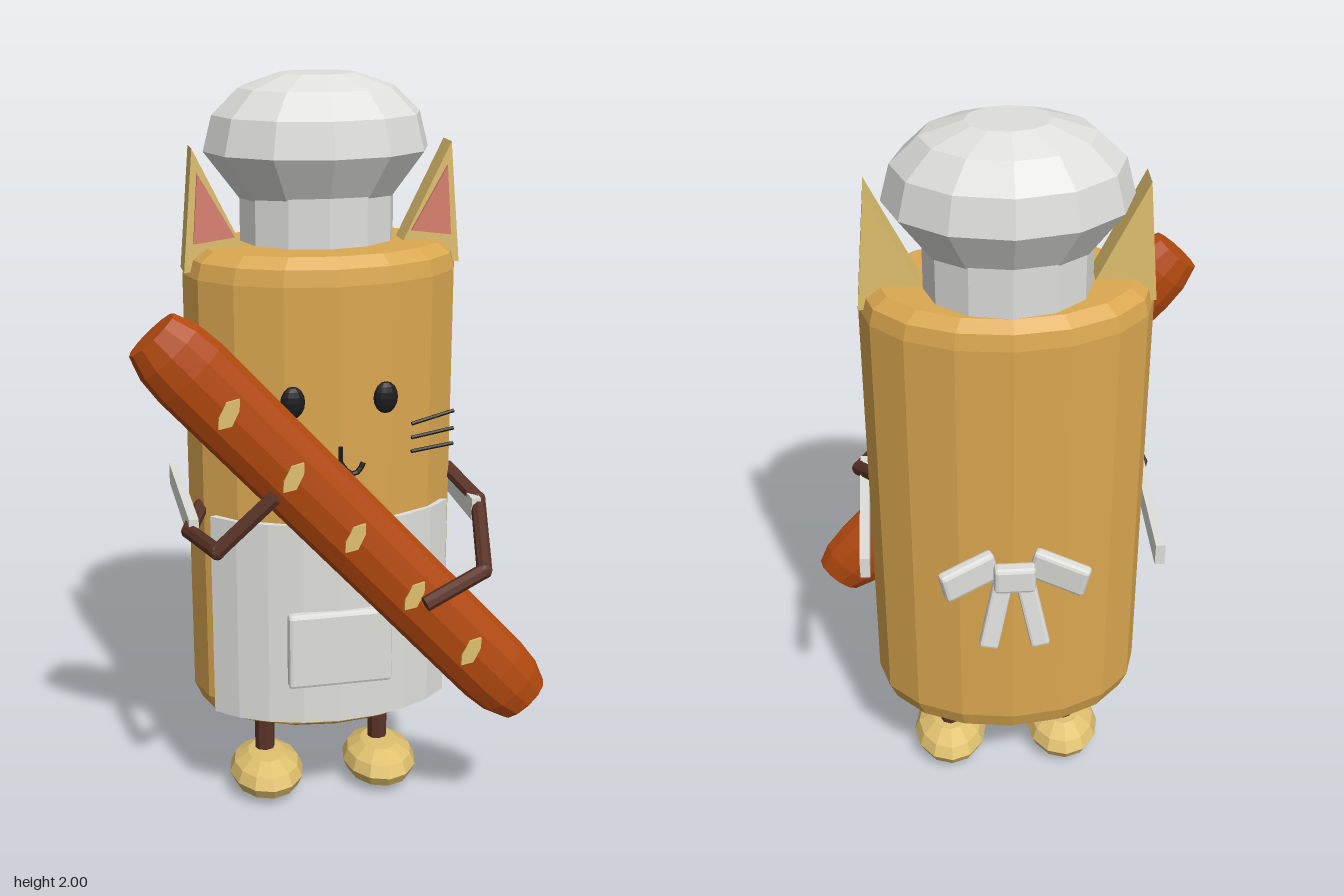
import * as THREE from 'three';
import { RoundedBoxGeometry } from 'three/addons/geometries/RoundedBoxGeometry.js';

const V = (x, y, z) => new THREE.Vector3(x, y, z);

export function createModel() {
  const root = new THREE.Group();
  const mat = (name, color) => {
    const m = new THREE.MeshStandardMaterial({ color, flatShading: true });
    m.name = name;
    return m;
  };
  const fur = mat('golden fur', 0xdba850);
  const pale = mat('pale fur', 0xdfc06e);
  const white = mat('white cloth', 0xdededb);
  const brown = mat('dark brown', 0x5a3327);
  const crust = mat('crust', 0xb54a0f);
  const pink = mat('pink', 0xd9806f);
  const black = mat('black', 0x1c1c1c);

  const add = (name, geo, material, x = 0, y = 0, z = 0, parent = root) => {
    const m = new THREE.Mesh(geo, material);
    m.name = name;
    m.position.set(x, y, z);
    parent.add(m);
    return m;
  };
  // Turned shape with an oval cross-section
  const lathe = (pts, seg, rx, rz) =>
    new THREE.LatheGeometry(pts.map(p => new THREE.Vector2(...p)), seg).scale(rx, 1, rz);
  // Straight rod between two points
  const rod = (name, a, b, r, material, sides = 8, parent = root) => {
    const d = b.clone().sub(a);
    const m = add(name, new THREE.CylinderGeometry(r, r, d.length(), sides), material, 0, 0, 0, parent);
    m.position.copy(a).add(b).multiplyScalar(0.5);
    m.quaternion.setFromUnitVectors(V(0, 1, 0), d.normalize());
    return m;
  };
  const plate = (pts, depth) => new THREE.ExtrudeGeometry(
    new THREE.Shape(pts.map(p => new THREE.Vector2(...p))), { depth, bevelEnabled: false });

  // Body
  const bodyZ = -0.082;
  add('body', lathe([[0, 0.28], [0.8, 0.28], [0.94, 0.302], [1, 0.35], [1, 1.51], [0.97, 1.552],
    [0.87, 1.58], [0, 1.58]], 16, 0.36, 0.238), fur, 0, 0, bodyZ);

  // Hat
  add('hatBand', lathe([[0, 1.56], [1, 1.56], [1, 1.72], [0, 1.72]], 12, 0.203, 0.163), white, 0, 0, -0.126);
  add('hatPuff', lathe([[0, 1.69], [0.69, 1.69], [1, 1.81], [0.92, 1.9], [0.69, 1.965], [0.34, 2], [0, 2]],
    12, 0.294, 0.222), white, 0, 0, -0.126);

  // Apron: curved panel wrapping the front
  const arc = [];
  const half = Math.PI / 3;
  for (let i = 0; i <= 8; i++) {
    const t = -half + (2 * half * i) / 8;
    arc.push([0.371 * Math.sin(t), -0.25 * Math.cos(t)]);
  }
  const inner = arc.map(([x, y]) => [x * 0.93, y * 0.93]).reverse();
  add('apron', plate([...arc, ...inner], 0.57).rotateX(-Math.PI / 2), white, 0, 0.32, bodyZ);
  add('apronPocket', new RoundedBoxGeometry(0.28, 0.212, 0.036, 1, 0.01), white, 0, 0.54, 0.167);

  // Bow at the back
  add('bowKnot', new RoundedBoxGeometry(0.105, 0.075, 0.04, 1, 0.01), white, 0, 0.875, -0.362);

  for (const s of [1, -1]) {
    const side = s > 0 ? 'left' : 'right';

    add(side + 'ApronStrap', new THREE.BoxGeometry(0.025, 0.06, 0.45), white, s * 0.375, 0.89, -0.09);
    const loop = add(side + 'BowLoop', new RoundedBoxGeometry(0.15, 0.085, 0.034, 1, 0.01), white,
      s * 0.115, 0.88, -0.352);
    loop.rotation.set(0, s * 0.38, -s * 0.22);
    const tail = add(side + 'BowTail', new RoundedBoxGeometry(0.05, 0.2, 0.03, 1, 0.008), white,
      s * 0.048, 0.75, -0.352);
    tail.rotation.set(0.12, 0, s * 0.2);

    // Ears with a pink lining
    add(side + 'Ear', plate([[s * 0.36, 1.52], [s * 0.333, 1.83], [s * 0.185, 1.53]], 0.076), pale, 0, 0, -0.116);
    add(side + 'EarLining', plate([[s * 0.335, 1.593], [s * 0.322, 1.77], [s * 0.23, 1.607]], 0.009),
      pink, 0, 0, -0.04);

    // Legs and feet
    rod(side + 'Leg', V(s * 0.165, 0.1, -0.08), V(s * 0.165, 0.31, -0.08), 0.028, brown);
    add(side + 'Foot', lathe([[0, 0.005], [0.5, 0.01], [0.87, 0.035], [1, 0.066], [0.87, 0.098],
      [0.5, 0.123], [0, 0.127]], 12, 0.105, 0.138), pale, s * 0.165, 0, -0.06);

    // Eyes and whiskers
    add(side + 'Eye', new THREE.SphereGeometry(1, 12, 8).scale(0.032, 0.042, 0.018), black, s * 0.12, 1.22, 0.152);
    for (const [y, rise] of [[1.15, 0.024], [1.113, 0.014], [1.076, 0.01]])
      rod(side + 'Whisker', V(s * 0.185, y, 0.168), V(s * 0.3, y + rise, 0.153), 0.005, black, 6);
  }

  // Mouth: a short stem above two curves
  rod('mouthStem', V(0, 1.055, 0.168), V(0, 1.1, 0.168), 0.006, black, 6);
  for (const s of [1, -1]) {
    const curve = new THREE.QuadraticBezierCurve3(V(0, 1.06, 0.17), V(s * 0.035, 0.995, 0.172), V(s * 0.06, 1.055, 0.166));
    add('mouthCurve', new THREE.TubeGeometry(curve, 6, 0.007, 6), black);
  }

  // Arms bent around the loaf
  const arms = {
    leftArm: [V(0.335, 0.96, -0.02), V(0.39, 0.905, 0.1), V(0.335, 0.805, 0.345), V(0.175, 0.738, 0.37)],
    rightArm: [V(-0.335, 0.9, -0.02), V(-0.385, 0.88, 0.11), V(-0.345, 0.915, 0.345), V(-0.205, 1.055, 0.37)],
  };
  for (const [name, p] of Object.entries(arms)) {
    const arm = new THREE.Group();
    arm.name = name;
    root.add(arm);
    for (let i = 0; i < 3; i++) {
      rod('armSegment', p[i], p[i + 1], 0.02, brown, 8, arm);
      if (i) add('armJoint', new THREE.SphereGeometry(0.021, 8, 6), brown, p[i].x, p[i].y, p[i].z, arm);
    }
  }

  // Loaf held diagonally, with pale scores along its front
  const loaf = new THREE.Group();
  loaf.name = 'loaf';
  loaf.position.set(0, 0.92, 0.278);
  root.add(loaf);
  const crustMesh = add('loafCrust', lathe([[0, -0.71], [0.72, -0.71], [0.93, -0.65], [1, -0.58], [1, 0.58],
    [0.93, 0.65], [0.72, 0.71], [0, 0.71]], 12, 0.102, 0.065), crust, 0, 0, 0, loaf);
  crustMesh.rotation.z = Math.atan2(0.477, 0.525);
  const score = [[-0.026, -0.036], [0.006, -0.03], [0.025, 0.008], [0.026, 0.036], [-0.006, 0.03], [-0.025, -0.008]];
  for (let i = -2; i <= 2; i++)
    add('loafScore', plate(score, 0.009), pale, i * 0.154, -i * 0.17, 0.058, loaf);

  return root;
}
